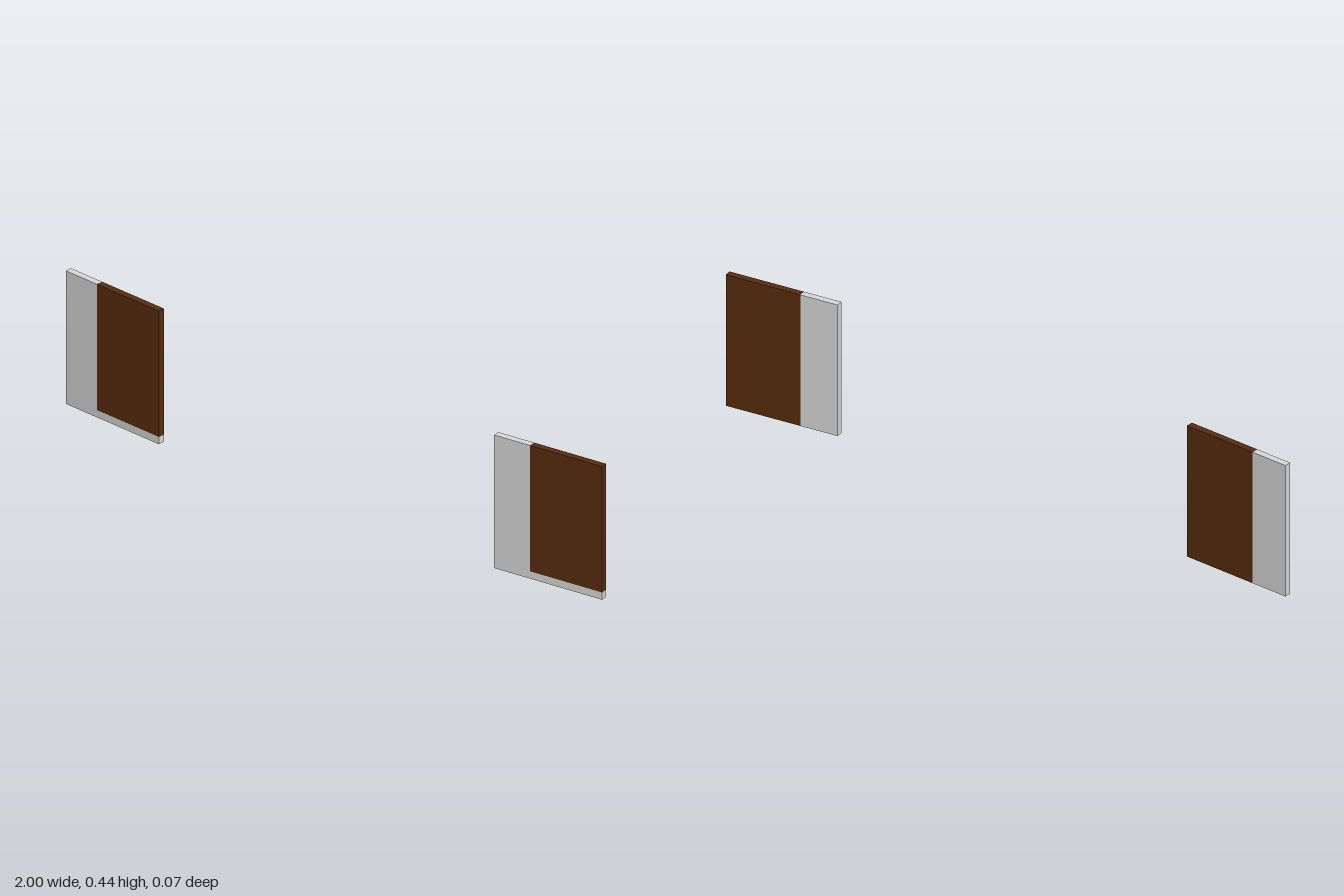
import * as THREE from 'three';

const W = 0.374, H = 0.437, T = 0.022; // panel width, height, thickness
const STRIP = 0.024;                   // pale strip along the foot
const PALE = W / 3;                    // pale band on the -x side

export function createModel() {
  const pale = new THREE.MeshStandardMaterial({ color: 0xdadada });
  pale.name = 'pale grey';
  const brown = new THREE.MeshStandardMaterial({ color: 0x5a2d10 });
  brown.name = 'dark brown';

  // Box given by its lower and upper corners in x and y
  function slab(name, x0, x1, y0, y1, material) {
    const mesh = new THREE.Mesh(new THREE.BoxGeometry(x1 - x0, y1 - y0, T), material);
    mesh.position.set((x0 + x1) / 2, (y0 + y1) / 2, 0);
    mesh.name = name;
    return mesh;
  }

  function panel(name, x, z, turn) {
    const g = new THREE.Group();
    g.name = name;
    const a = -W / 2, b = a + PALE, c = W / 2;
    g.add(slab('paleBand', a, b, 0, H, pale));
    g.add(slab('brownBoard', b, c, STRIP, H, brown));
    // Foot: pale on its front and outer end, brown on the back and underside
    g.add(slab('boardFoot', b, c, 0, STRIP, [pale, pale, brown, brown, pale, brown]));
    g.position.set(x, 0, z);
    g.rotation.y = turn;
    return g;
  }

  const model = new THREE.Group();
  model.name = 'panelPair';
  model.add(panel('leftPanel', 0.8125, 0.0085, 0.094));
  model.add(panel('rightPanel', -0.8125, -0.0085, -0.094));
  return model;
}
